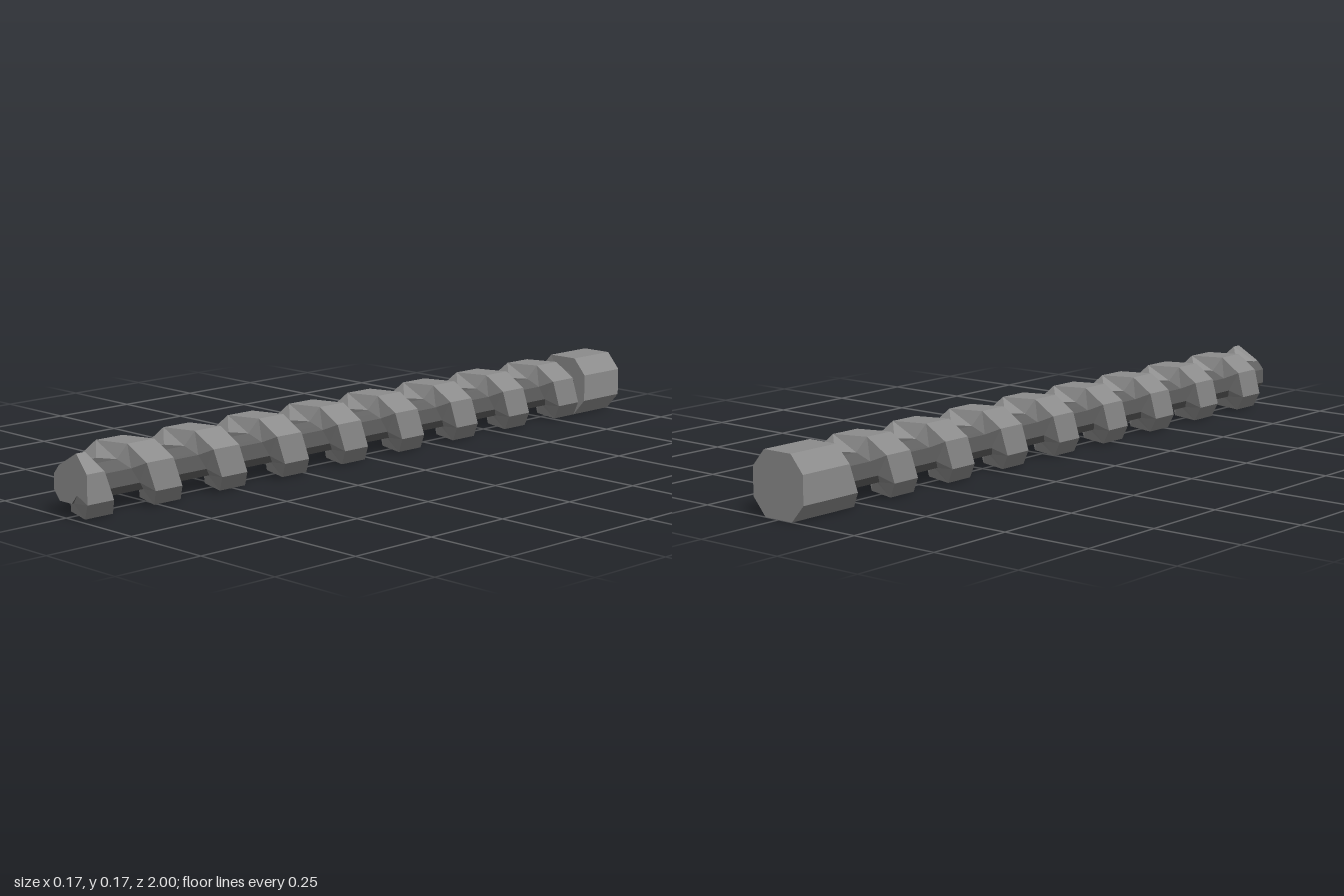
import * as THREE from 'three';

const CENTRE_Y = 0.084;
const CORE = 0.53;          // core size relative to the outer octagon
const FRONT = 1, BACK = -1, SHANK_FRONT = -0.845;
const PITCH = 0.217, CREST = 0.043, ROOT = 0.06; // half widths along the axis

// Corners of the slightly squashed octagon, counter-clockwise from +x
const CORNERS = [
  [0.085, 0.038], [0.045, 0.084], [-0.045, 0.084], [-0.085, 0.038],
  [-0.085, -0.038], [-0.045, -0.084], [0.045, -0.084], [0.085, -0.038],
];

const metal = new THREE.MeshStandardMaterial({ color: 0x8c8c8c, flatShading: true });
const grooveMetal = new THREE.MeshStandardMaterial({ color: 0x606060, flatShading: true });

// Octagonal bar; the end caps are always plain metal
function prism(name, scale, z0, z1, sideMaterial) {
  const shape = new THREE.Shape(CORNERS.map(([x, y]) => new THREE.Vector2(x * scale, y * scale)));
  const geometry = new THREE.ExtrudeGeometry(shape, { depth: z1 - z0, bevelEnabled: false });
  const mesh = new THREE.Mesh(geometry, [metal, sideMaterial]);
  mesh.name = name;
  mesh.position.set(0, CENTRE_Y, z0);
  return mesh;
}

// Trapezoid thread section at octagon corner i (eight corners per turn)
function threadSection(i, collapsed) {
  const [x, y] = CORNERS[((i % 8) + 8) % 8];
  const mid = 0.812 + PITCH * (i - 1.5) / 8;
  const crest = collapsed ? CORE : 1;
  return [[CORE, -ROOT], [crest, -CREST], [crest, CREST], [CORE, ROOT]].map(([s, dz]) =>
    [x * s, y * s, THREE.MathUtils.clamp(mid + dz, SHANK_FRONT, FRONT)]);
}

function thread() {
  const first = -63, last = 10; // last section runs out into the core
  const positions = [];
  for (let i = first; i < last; i++) {
    const a = threadSection(i, false);
    const b = threadSection(i + 1, i + 1 === last);
    for (let k = 0; k < 3; k++) {
      positions.push(...a[k], ...b[k], ...a[k + 1], ...b[k], ...b[k + 1], ...a[k + 1]);
    }
  }
  const geometry = new THREE.BufferGeometry();
  geometry.setAttribute('position', new THREE.Float32BufferAttribute(positions, 3));
  geometry.computeVertexNormals();
  const mesh = new THREE.Mesh(geometry, metal);
  mesh.name = 'spiralThread';
  mesh.position.y = CENTRE_Y;
  return mesh;
}

export function createModel() {
  const group = new THREE.Group();
  group.name = 'threadedRod';
  group.add(
    prism('shank', 1, BACK, SHANK_FRONT, metal),
    prism('core', CORE, SHANK_FRONT, FRONT, grooveMetal),
    thread(),
  );
  return group;
}
